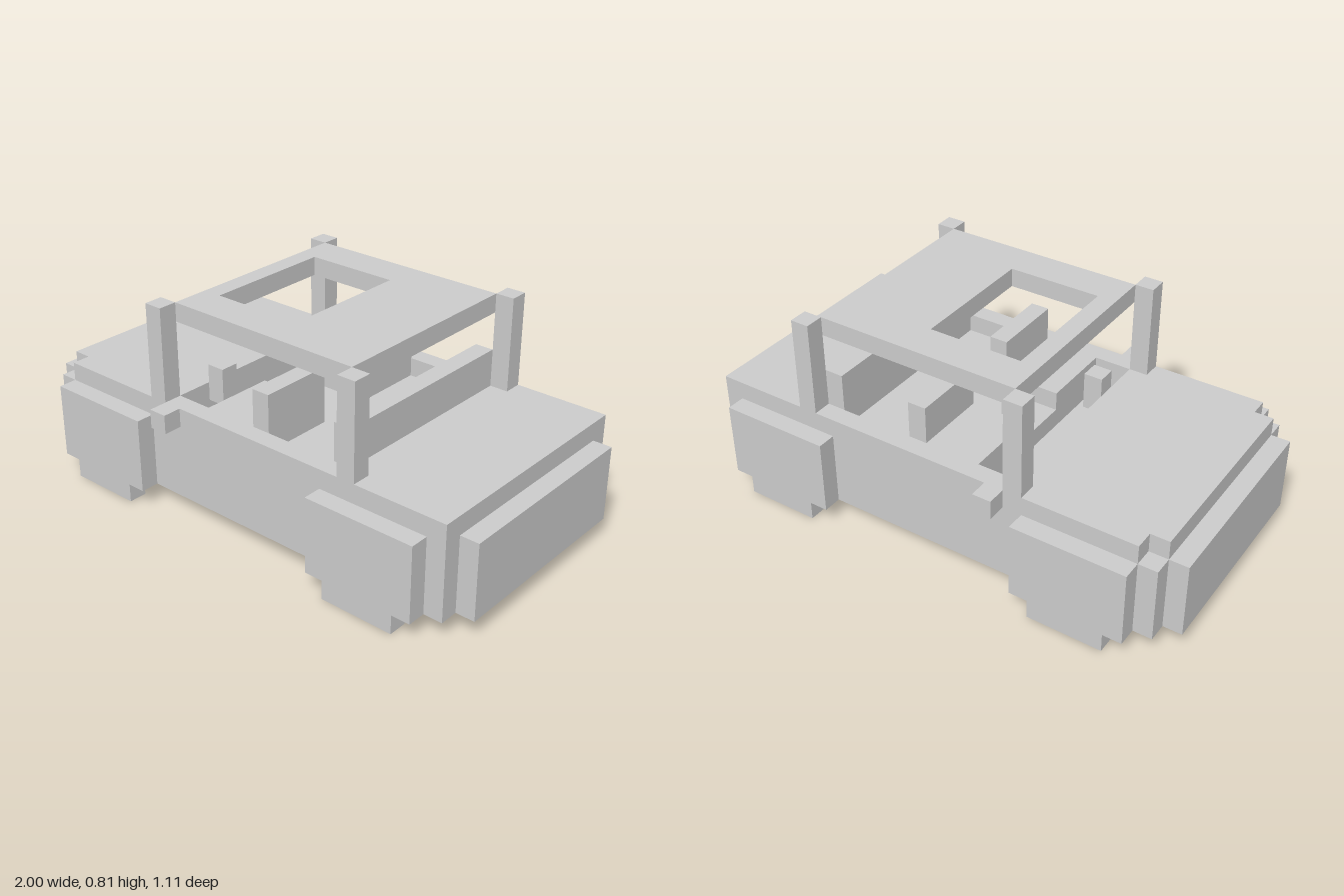
import * as THREE from 'three';

// All parts sit on a cubic grid: 27 cells long (x), 11 high (y), 15 wide (z).
const U = 2 / 27;

export function createModel() {
  const model = new THREE.Group();
  const material = new THREE.MeshStandardMaterial({ color: 0xcccccc, flatShading: true });

  // Block from grid limits: x counted from one end, y from the ground, z from the centre line.
  function block(name, x0, x1, y0, y1, z0, z1) {
    const geometry = new THREE.BoxGeometry((x1 - x0) * U, (y1 - y0) * U, (z1 - z0) * U);
    const mesh = new THREE.Mesh(geometry, material);
    mesh.name = name;
    mesh.position.set(((x0 + x1) / 2 - 13.5) * U, ((y0 + y1) / 2) * U, ((z0 + z1) / 2) * U);
    model.add(mesh);
  }

  // The same block on both sides of the centre line.
  function pair(name, x0, x1, y0, y1, z0, z1) {
    block(name, x0, x1, y0, y1, z0, z1);
    block(name, x0, x1, y0, y1, -z1, -z0);
  }

  // Lower body, with the cabin floor stepping down at the footwell
  block('chassis', 1, 26, 1, 4, -6.5, 6.5);
  block('engineBay', 1, 9, 4, 5, -6.5, 6.5);
  block('cabinFloor', 11, 20, 4, 5, -5.5, 5.5);
  block('trunk', 20, 26, 4, 6, -6.5, 6.5);
  pair('sideWall', 9, 20, 4, 6, 5.5, 6.5);

  // Hood with notched outer corners
  block('hood', 2, 9, 5, 6, -6.5, 6.5);
  block('hoodNose', 1, 2, 5, 6, -5.5, 5.5);

  block('frontBumper', 0, 1, 1, 5, -5.5, 5.5);
  block('rearBumper', 26, 27, 1, 5, -5.5, 5.5);

  // Fenders, with the wheels showing below them
  for (const [x0, x1] of [[2, 8], [19, 25]]) {
    pair('fender', x0, x1, 1, 5, 6.5, 7.5);
    pair('wheel', x0 + 1, x1 - 1, 0, 1, 6.5, 7.5);
  }

  pair('mirror', 9, 10, 5, 6, 6.5, 7.5);

  // Roof on four posts, open at the sunroof
  for (const x of [8, 20]) pair('roofPost', x, x + 1, 6, 11, 5.5, 6.5);
  const outline = new THREE.Shape();
  outline.moveTo(-4.5 * U, -5.5 * U).lineTo(6.5 * U, -5.5 * U);
  outline.lineTo(6.5 * U, 5.5 * U).lineTo(-4.5 * U, 5.5 * U).closePath();
  const sunroof = new THREE.Path();
  sunroof.moveTo(-3.5 * U, -3.5 * U).lineTo(-3.5 * U, 3.5 * U);
  sunroof.lineTo(1.5 * U, 3.5 * U).lineTo(1.5 * U, -3.5 * U).closePath();
  outline.holes.push(sunroof);
  const roof = new THREE.Mesh(
    new THREE.ExtrudeGeometry(outline, { depth: U, bevelEnabled: false }), material);
  roof.name = 'roof';
  roof.rotation.x = -Math.PI / 2;
  roof.position.y = 10 * U;
  model.add(roof);

  // Interior
  pair('seatBase', 11, 14, 5, 6, 1.5, 5.5);
  pair('seatBack', 14, 15, 5, 8, 1.5, 5.5);
  block('rearSeatBack', 19, 20, 5, 8, -5.5, 5.5);
  block('gearLever', 12, 13, 5, 6, -0.5, 0.5);
  block('steeringColumn', 9, 10, 5, 6, 2.5, 3.5);
  block('steeringWheel', 9, 10, 6, 7, 2.5, 3.5);

  return model;
}
